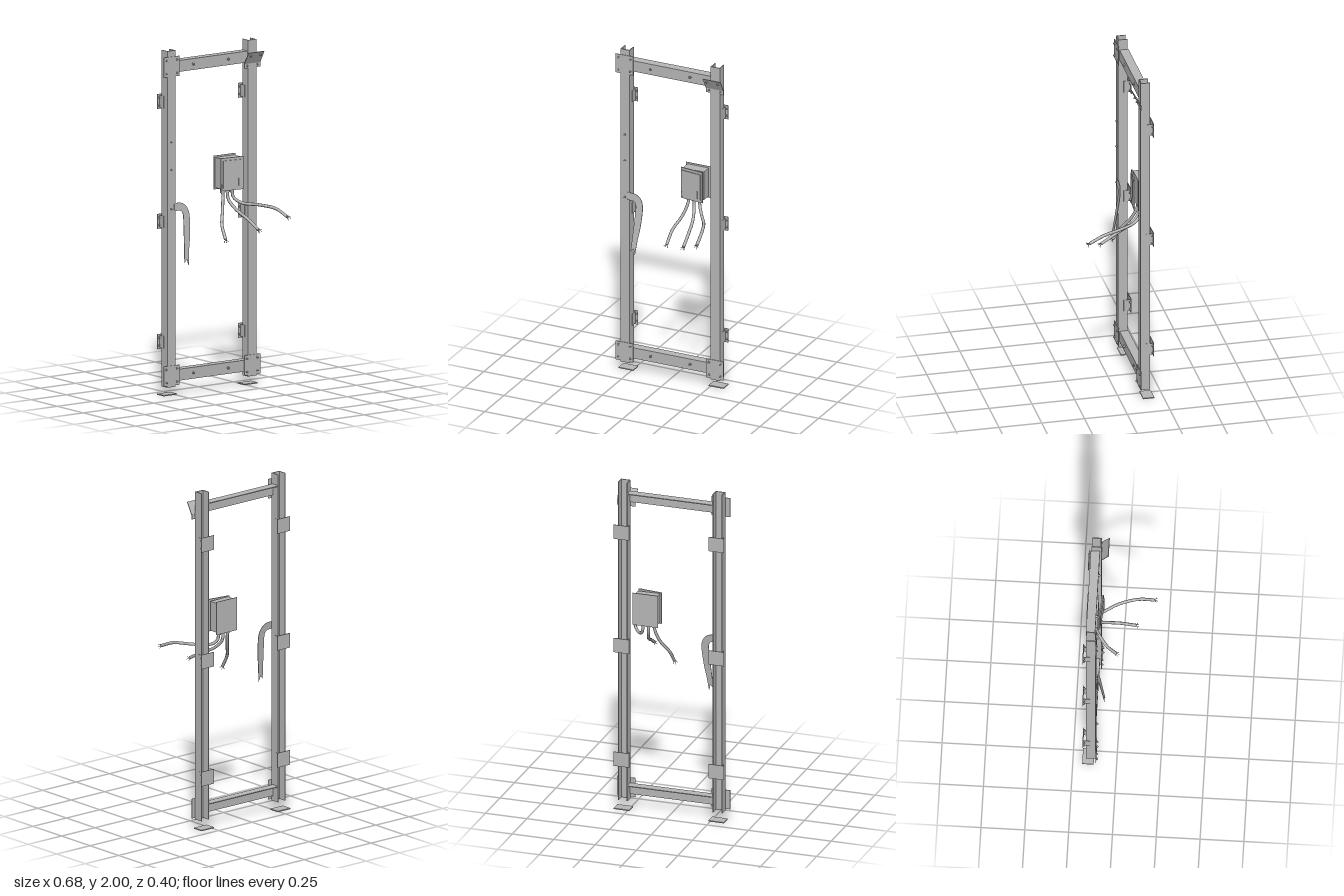
import * as THREE from 'three';

export function createModel() {
  const model = new THREE.Group();
  const steel = new THREE.MeshStandardMaterial({ color: 0xb6b6b6 });
  steel.name = 'grey steel';
  steel.side = THREE.DoubleSide;

  const add = (parent, name, geometry, x = 0, y = 0, z = 0) => {
    const mesh = new THREE.Mesh(geometry, steel);
    mesh.name = name;
    mesh.position.set(x, y, z);
    parent.add(mesh);
    return mesh;
  };
  const group = (parent, name, x = 0, y = 0, z = 0) => {
    const g = new THREE.Group();
    g.name = name;
    g.position.set(x, y, z);
    parent.add(g);
    return g;
  };
  // box given by its minimum and maximum corners
  const block = (parent, name, [x0, y0, z0], [x1, y1, z1]) =>
    add(parent, name, new THREE.BoxGeometry(x1 - x0, y1 - y0, z1 - z0),
      (x0 + x1) / 2, (y0 + y1) / 2, (z0 + z1) / 2);
  // hexagonal bolt with a washer and stud, pointing to +z
  const bolt = (parent, x, y, z, s = 1) => {
    const b = group(parent, 'bolt', x, y, z);
    [[0.009, 0.002, 12, 0.001], [0.0075, 0.006, 6, 0.005], [0.004, 0.004, 8, 0.01]].forEach(([r, h, n, d]) => {
      add(b, 'boltPart', new THREE.CylinderGeometry(r * s, r * s, h * s, n).toNonIndexed().rotateX(Math.PI / 2), 0, 0, d * s);
    });
  };

  // channel posts, open to the back, with rear clips and feet
  for (const side of [-1, 1]) {
    const post = group(model, side < 0 ? 'rightPost' : 'leftPost', side * 0.286);
    block(post, 'postWeb', [-0.029, 0.05, -0.126], [0.029, 2, -0.12]);
    for (const s of [-1, 1]) {
      add(post, 'postFlange', new THREE.BoxGeometry(0.005, 1.95, 0.049), s * 0.0265, 1.025, -0.1505);
    }
    for (const y of [0.308, 1.005, 1.7]) {
      const clip = group(post, 'rearClip', 0, y);
      block(clip, 'clipPlate', [-0.047, -0.043, -0.195], [0.047, 0.043, -0.191]);
      for (const s of [-1, 1]) {
        add(clip, 'clipLeg', new THREE.BoxGeometry(0.003, 0.07, 0.04), s * 0.0305, 0, -0.172);
        for (const h of [-0.022, 0.022]) bolt(clip, s * 0.039, h, -0.191, 0.8);
      }
    }
    block(post, 'footPlate', [-0.047, 0, -0.196], [0.047, 0.006, -0.131]);
  }
  for (const y of [1.47, 1.31, 1.08]) bolt(model, -0.288, y, -0.12, 0.8);

  // angle rails: front web with a flange along the top
  for (const y of [0.08, 1.87]) {
    const rail = group(model, y > 1 ? 'topRail' : 'bottomRail', 0, y);
    block(rail, 'railWeb', [-0.257, 0, -0.133], [0.257, 0.066, -0.128]);
    block(rail, 'railFlange', [-0.257, 0.061, -0.18], [0.257, 0.066, -0.133]);
    for (const x of [-0.127, 0.122]) bolt(rail, x, 0.034, -0.128);
  }

  // corner plates
  for (const [x, y] of [[-0.288, 1.908], [-0.288, 0.117], [0.284, 0.117]]) {
    const corner = group(model, 'cornerPlate', x, y, -0.12);
    block(corner, 'plate', [-0.056, -0.058, 0], [0.056, 0.058, 0.004]);
    for (const sx of [-1, 1]) for (const sy of [-1, 1]) bolt(corner, sx * 0.037, sy * 0.038, 0.004, 0.8);
  }
  // loose corner plate, its upper part bent forward
  const bent = group(model, 'bentCornerPlate', 0.284, 1.867, -0.12);
  block(bent, 'plateFoot', [-0.056, -0.028, 0], [0.056, 0, 0.004]);
  const flap = group(bent, 'bentFlap', 0, 0, 0.001);
  flap.rotation.x = 0.52;
  block(flap, 'flapPlate', [-0.056, 0, 0], [0.056, 0.079, 0.004]);
  for (const sx of [-1, 1]) {
    bolt(flap, sx * 0.035, 0.058, 0.004, 0.8);
    bolt(bent, sx * 0.035, -0.014, 0.004, 0.8);
  }

  // torn hanging strap, leaning forward as it drops
  const strap = new THREE.Shape();
  strap.moveTo(-0.27, 1.115);
  strap.lineTo(-0.235, 1.115);
  strap.bezierCurveTo(-0.185, 1.11, -0.165, 1.07, -0.167, 1.02);
  strap.quadraticCurveTo(-0.172, 0.92, -0.188, 0.85);
  for (const [x, y] of [[-0.2, 0.755], [-0.21, 0.79], [-0.228, 0.77]]) strap.lineTo(x, y);
  strap.quadraticCurveTo(-0.218, 0.9, -0.211, 1.03);
  strap.quadraticCurveTo(-0.21, 1.07, -0.24, 1.07);
  strap.lineTo(-0.27, 1.07);
  const strapGeo = new THREE.ExtrudeGeometry(strap, { depth: 0.003, bevelEnabled: false, curveSegments: 10 });
  const sp = strapGeo.attributes.position;
  for (let i = 0; i < sp.count; i++) {
    sp.setZ(i, sp.getZ(i) - 0.119 + Math.max(0, 1.1 - sp.getY(i)) * 0.13);
  }
  strapGeo.computeVertexNormals();
  add(model, 'hangingStrap', strapGeo);

  // junction box with a lid standing ajar
  const box = group(model, 'junctionBox');
  block(box, 'backPlate', [0.066, 1.145, -0.195], [0.22, 1.34, -0.191]);
  block(box, 'boxBody', [0.075, 1.155, -0.191], [0.21, 1.33, -0.13]);
  const lid = group(box, 'lid', 0.068, 1.24, -0.13);
  lid.rotation.y = -0.13;
  block(lid, 'lidPanel', [0, -0.095, 0], [0.146, 0.095, 0.008]);
  block(lid, 'lidRaisedFace', [0.012, -0.08, 0.008], [0.134, 0.08, 0.013]);
  block(lid, 'latch', [0.112, -0.07, 0.013], [0.118, -0.028, 0.017]);
  block(lid, 'hinge', [0.004, -0.085, 0.008], [0.01, -0.055, 0.013]);

  // cables with glands and frayed wire ends
  const cables = [
    [[0.1, 1.16, -0.155], [0.1, 1.11, -0.15], [0.075, 1.03, -0.12], [0.038, 0.96, -0.075], [0.026, 0.885, -0.024]],
    [[0.135, 1.16, -0.155], [0.138, 1.09, -0.15], [0.155, 1.035, -0.1], [0.172, 0.99, -0.01], [0.182, 0.94, 0.08]],
    [[0.168, 1.16, -0.155], [0.175, 1.095, -0.15], [0.205, 1.065, -0.11], [0.262, 1.06, -0.02], [0.3, 1.05, 0.09], [0.314, 1.015, 0.178]],
  ];
  for (const points of cables) {
    const cable = group(model, 'cable');
    const curve = new THREE.CatmullRomCurve3(points.map(p => new THREE.Vector3(...p)));
    add(cable, 'cableSheath', new THREE.TubeGeometry(curve, 24, 0.009, 8));
    add(cable, 'gland', new THREE.CylinderGeometry(0.014, 0.013, 0.03, 8), points[0][0], 1.143, -0.155);
    const fray = group(cable, 'frayedEnd', ...points.at(-1));
    fray.quaternion.setFromUnitVectors(new THREE.Vector3(0, 1, 0), curve.getTangent(1));
    add(fray, 'endCap', new THREE.CylinderGeometry(0.005, 0.009, 0.004, 8));
    for (let i = 0; i < 5; i++) {
      const a = i * Math.PI * 0.4;
      const c = Math.cos(a), s = Math.sin(a);
      const path = new THREE.QuadraticBezierCurve3(
        new THREE.Vector3(c * 0.004, 0, s * 0.004),
        new THREE.Vector3(c * 0.005, 0.01, s * 0.005),
        new THREE.Vector3(c * 0.015, 0.016, s * 0.015));
      add(fray, 'wire', new THREE.TubeGeometry(path, 4, 0.0015, 5));
    }
  }
  return model;
}
